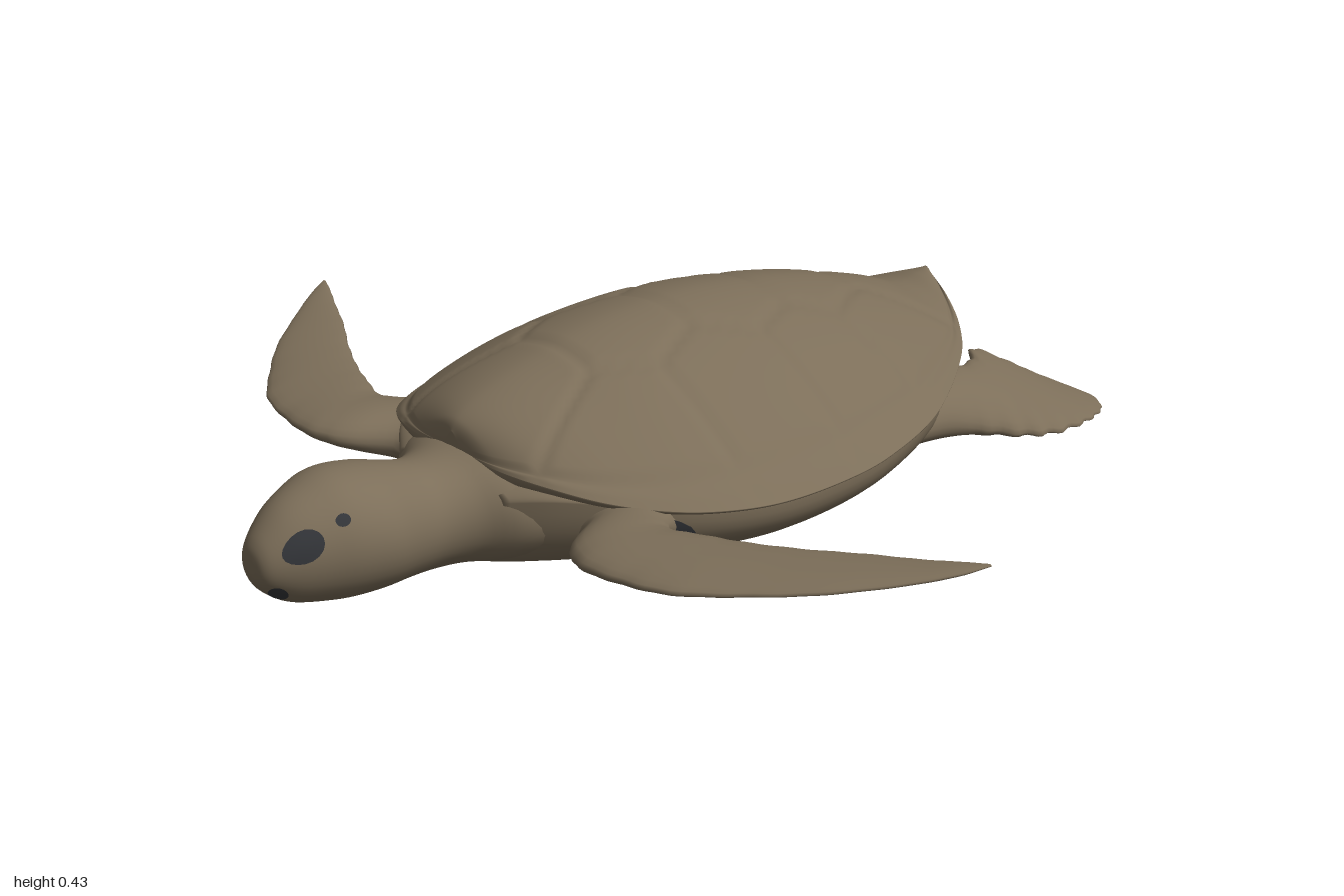
import * as THREE from 'three';

const skin = new THREE.MeshStandardMaterial({ color: 0x7c6e59 });
skin.name = 'olive brown';
const dark = new THREE.MeshStandardMaterial({ color: 0x34363a });
dark.name = 'dark grey';

// Smooth interpolation of a station table at row position t
function sample(table, t) {
  const n = table.length - 1;
  const i = Math.min(n - 1, Math.max(0, Math.floor(t))), f = t - i;
  const row = (k) => table[Math.min(n, Math.max(0, k))];
  return table[i].map((p1, c) => {
    const p0 = row(i - 1)[c], p2 = row(i + 1)[c], p3 = row(i + 2)[c];
    return p1 + 0.5 * f * (p2 - p0 + f * (2 * p0 - 5 * p1 + 4 * p2 - p3 + f * (3 * (p1 - p2) + p3 - p0)));
  });
}

function geometry(pos, index, flip) {
  if (flip) {
    for (let i = 0; i < pos.length; i += 3) pos[i] *= -1;
    for (let i = 0; i < index.length; i += 3) [index[i], index[i + 1]] = [index[i + 1], index[i]];
  }
  const g = new THREE.BufferGeometry();
  g.setAttribute('position', new THREE.Float32BufferAttribute(pos, 3));
  g.setIndex(index);
  g.computeVertexNormals();
  return g;
}

// Closed skin over rings surf(t, angle), capped at both ends
function loft(surf, tMax, rows, sides, flip = false) {
  const pos = [], index = [];
  for (let i = 0; i <= rows; i++)
    for (let j = 0; j < sides; j++) pos.push(...surf((tMax * i) / rows, (j / sides) * Math.PI * 2));
  for (let i = 0; i < rows; i++)
    for (let j = 0; j < sides; j++) {
      const k = (j + 1) % sides, a = i * sides + j, b = i * sides + k;
      index.push(a, b, a + sides, b, b + sides, a + sides);
    }
  for (const r of [0, rows]) {
    const mid = [0, 0, 0], c = pos.length / 3;
    for (let j = 0; j < sides; j++) for (let k = 0; k < 3; k++) mid[k] += pos[(r * sides + j) * 3 + k] / sides;
    pos.push(...mid);
    for (let j = 0; j < sides; j++) {
      const a = r * sides + j, b = r * sides + ((j + 1) % sides);
      index.push(...(r ? [a, b, c] : [b, a, c]));
    }
  }
  return geometry(pos, index, flip);
}

// Thin rounded spot lying just above a lofted surface
function patch(surf, t, a, dt, da) {
  const pos = [], index = [], n = 18;
  const point = (t, a) => {
    const p = new THREE.Vector3(...surf(t, a));
    const u = new THREE.Vector3(...surf(t, a + 0.01)).sub(p);
    const v = new THREE.Vector3(...surf(t + 0.01, a)).sub(p);
    return p.addScaledVector(u.cross(v).normalize(), 0.004).toArray();
  };
  pos.push(...point(t, a));
  for (let r = 1; r <= 3; r++)
    for (let j = 0; j < n; j++) {
      const f = (j / n) * Math.PI * 2;
      pos.push(...point(t + (dt * Math.sin(f) * r) / 3, a + (da * Math.cos(f) * r) / 3));
    }
  for (let j = 0; j < n; j++) {
    const k = (j + 1) % n;
    index.push(0, 1 + j, 1 + k);
    for (let r = 0; r < 2; r++) {
      const p = 1 + r * n + j, q = 1 + r * n + k;
      index.push(p, p + n, q, q, p + n, q + n);
    }
  }
  return geometry(pos, index);
}

// Shell stations: z, half width, rim height, ridge height
const shellRows = [
  [-0.79, 0.015, 0.298, 0.31], [-0.76, 0.09, 0.275, 0.302], [-0.70, 0.185, 0.245, 0.295], [-0.6, 0.28, 0.22, 0.33],
  [-0.4, 0.4, 0.19, 0.385], [-0.2, 0.463, 0.175, 0.418], [-0.05, 0.48, 0.17, 0.43], [0.1, 0.474, 0.17, 0.425],
  [0.22, 0.446, 0.178, 0.41], [0.32, 0.398, 0.19, 0.385], [0.41, 0.325, 0.208, 0.36], [0.475, 0.235, 0.228, 0.335],
  [0.513, 0.13, 0.24, 0.31], [0.525, 0.02, 0.25, 0.285],
];
// Scute centres; seams run halfway between neighbours
const scutes = [[0, 0.4], [0, 0.14], [0, -0.12], [0, -0.38], [0, -0.63]];
for (const s of [-1, 1]) for (const z of [0.28, 0.02, -0.25, -0.5]) scutes.push([s * (z < -0.4 ? 0.2 : 0.28), z]);
function seam(x, z, u) {
  const d = scutes.map(([a, b]) => Math.hypot(x - a, z - b)).sort((a, b) => a - b);
  const gap = Math.min(d[1] - d[0], Math.abs(Math.abs(u) - 0.88) * 0.5);
  return 0.007 * Math.max(0, 1 - gap / 0.035);
}
function shellSurface(t, a) {
  const [z, w, rim, top] = sample(shellRows, t);
  const u = Math.cos(a), s = Math.sin(a);
  if (s < 0) return [w * u, rim + 0.035 * s, z];
  const rise = 1 - Math.abs(u) ** 1.75;
  return [w * u, rim + (top - rim) * rise - seam(w * u, z, u) * Math.min(1, rise * 4), z];
}

// Belly stations: z, half width, rim height, bottom height
const bellyRows = [
  [-0.7, 0.12, 0.24, 0.19], [-0.62, 0.22, 0.22, 0.12], [-0.52, 0.31, 0.205, 0.05], [-0.42, 0.375, 0.19, 0.022],
  [-0.2, 0.45, 0.172, 0.01], [0, 0.468, 0.165, 0.003], [0.15, 0.45, 0.168, 0.007], [0.28, 0.4, 0.18, 0.014],
  [0.39, 0.32, 0.195, 0.018], [0.47, 0.24, 0.2, 0.022], [0.53, 0.16, 0.19, 0.03],
];
function bellySurface(t, a) {
  const [z, w, rim, low] = sample(bellyRows, t);
  const c = Math.cos(a), s = Math.sin(a);
  return [w * Math.sign(c) * Math.abs(c) ** 0.85, rim + (s > 0 ? 0.03 * s : -(rim - low) * Math.abs(s) ** 0.85), z];
}

// Neck and head stations: z, half width, centre height, half height
const headRows = [
  [0.4, 0.27, 0.15, 0.12], [0.5, 0.205, 0.145, 0.115], [0.56, 0.14, 0.142, 0.11], [0.62, 0.111, 0.142, 0.11],
  [0.68, 0.116, 0.15, 0.117], [0.75, 0.133, 0.16, 0.125], [0.82, 0.126, 0.165, 0.126], [0.88, 0.104, 0.162, 0.113],
  [0.93, 0.08, 0.157, 0.093], [0.97, 0.054, 0.152, 0.06], [0.987, 0.034, 0.15, 0.036], [0.992, 0.012, 0.15, 0.014],
];
function headSurface(t, a) {
  const [z, w, y, h] = sample(headRows, t);
  return [w * Math.cos(a), y + h * Math.sin(a), z];
}

// Flipper stations: one edge x, y, z, other edge x, y, z, half thickness
const frontRows = [
  [0.2, 0.12, 0.45, 0.3, 0.12, 0.2, 0.075], [0.28, 0.14, 0.44, 0.37, 0.14, 0.27, 0.06],
  [0.345, 0.155, 0.525, 0.41, 0.165, 0.335, 0.042], [0.42, 0.16, 0.56, 0.45, 0.175, 0.36, 0.032],
  [0.52, 0.163, 0.553, 0.51, 0.185, 0.345, 0.025], [0.62, 0.168, 0.525, 0.59, 0.19, 0.315, 0.02],
  [0.72, 0.175, 0.45, 0.69, 0.196, 0.265, 0.016], [0.82, 0.185, 0.36, 0.79, 0.203, 0.205, 0.013],
  [0.91, 0.198, 0.25, 0.88, 0.21, 0.16, 0.01], [0.97, 0.212, 0.165, 0.95, 0.218, 0.124, 0.007],
  [1.0, 0.224, 0.108, 0.992, 0.224, 0.106, 0.002],
];
const rearRows = [
  [0.3, 0.1, -0.42, 0.16, 0.12, -0.42, 0.05], [0.3, 0.09, -0.54, 0.16, 0.13, -0.56, 0.055],
  [0.315, 0.07, -0.62, 0.175, 0.14, -0.66, 0.045], [0.36, 0.05, -0.7, 0.17, 0.14, -0.75, 0.032],
  [0.393, 0.042, -0.77, 0.125, 0.145, -0.81, 0.024], [0.4, 0.04, -0.85, 0.165, 0.115, -0.87, 0.018],
  [0.388, 0.038, -0.92, 0.2, 0.085, -0.92, 0.013], [0.365, 0.037, -0.97, 0.25, 0.06, -0.965, 0.009],
  [0.33, 0.04, -0.995, 0.295, 0.045, -0.995, 0.003],
];
const flipperSurface = (rows, ragged) => (t, a) => {
  const [px, py, pz, qx, qy, qz, th] = sample(rows, t);
  const c = Math.cos(a) * (1 + ragged * Math.sin(t * 9) * (t > 2 ? 1 : 0)), s = Math.sin(a);
  const mix = (p, q) => (p + q) / 2 + ((q - p) / 2) * c;
  return [mix(px, qx), mix(py, qy) + th * s, mix(pz, qz)];
};

// Tail stations: z, centre height, radius
const tailRows = [[-0.77, 0.13, 0.006], [-0.72, 0.15, 0.022], [-0.64, 0.18, 0.038], [-0.54, 0.18, 0.045]];
function tailSurface(t, a) {
  const [z, y, r] = sample(tailRows, t);
  return [r * Math.cos(a), y + r * Math.sin(a), z];
}

export function createModel() {
  const group = new THREE.Group();
  group.name = 'seaTurtle';
  const add = (name, geo, mat = skin) => {
    const mesh = new THREE.Mesh(geo, mat);
    mesh.name = name;
    group.add(mesh);
  };

  add('shell', loft(shellSurface, shellRows.length - 1, 110, 160));
  add('belly', loft(bellySurface, bellyRows.length - 1, 50, 64));
  add('headAndNeck', loft(headSurface, headRows.length - 1, 50, 40));
  add('tail', loft(tailSurface, tailRows.length - 1, 12, 16));

  for (const left of [true, false]) {
    const side = left ? 'left' : 'right';
    const turn = (a) => (left ? a : Math.PI - a);
    add(side + 'FrontFlipper', loft(flipperSurface(frontRows, 0.012), frontRows.length - 1, 60, 24, !left));
    add(side + 'RearFlipper', loft(flipperSurface(rearRows, 0.035), rearRows.length - 1, 60, 24, !left));
    // Dark spots on the face and around the limbs
    add(side + 'Eye', patch(headSurface, 7.95, turn(0.4), 0.75, 0.32), dark);
    add(side + 'BrowSpot', patch(headSurface, 6.5, turn(0.6), 0.22, 0.1), dark);
    add(side + 'MouthCorner', patch(headSurface, 8.8, turn(-0.85), 0.45, 0.3), dark);
    add(side + 'ShoulderHollow', patch(bellySurface, 7.6, turn(-0.25), 0.75, 0.22), dark);
    add(side + 'HipHollow', patch(bellySurface, 0.9, turn(-0.25), 0.5, 0.35), dark);
  }
  return group;
}
